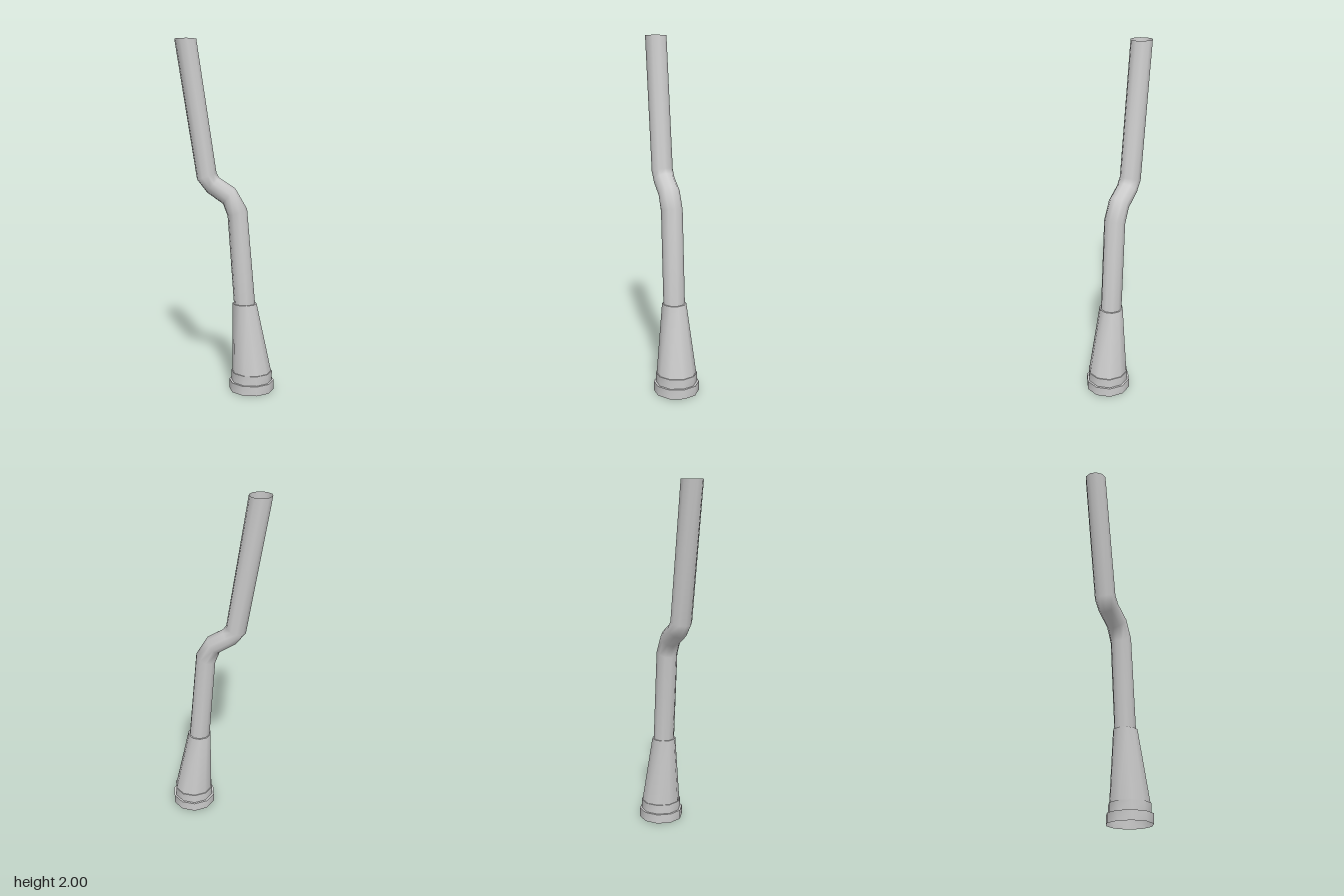
import * as THREE from 'three';

const SIDES = 10;
const material = new THREE.MeshStandardMaterial({ color: 0xcccccc, side: THREE.DoubleSide });

// Open skin through tilted rings, each [left x, left y, right x, right y, depth radius]
function skin(name, rings) {
  const positions = [], index = [];
  for (const [lx, ly, rx, ry, rz] of rings) {
    for (let i = 0; i < SIDES; i++) {
      const a = (i / SIDES) * Math.PI * 2;
      const t = (1 + Math.cos(a)) / 2;
      positions.push(lx + (rx - lx) * t, ly + (ry - ly) * t, rz * Math.sin(a));
    }
  }
  for (let r = 0; r < rings.length - 1; r++) {
    for (let i = 0; i < SIDES; i++) {
      const j = (i + 1) % SIDES;
      const a = r * SIDES + i, b = r * SIDES + j, c = a + SIDES, d = b + SIDES;
      index.push(a, c, b, b, c, d);
    }
  }
  const geometry = new THREE.BufferGeometry();
  geometry.setAttribute('position', new THREE.Float32BufferAttribute(positions, 3));
  geometry.setIndex(index);
  geometry.computeVertexNormals();
  const mesh = new THREE.Mesh(geometry, material);
  mesh.name = name;
  return mesh;
}

// Level ring: centre x, height, radius
const level = (x, y, r) => [x - r, y, x + r, y, r];

export function createModel() {
  const group = new THREE.Group();
  group.name = 'bentPipe';
  const baseX = 0.154, neckX = 0.112, pipeR = 0.061;

  // Stepped socket: separate skins keep the edges crisp
  const foot = level(baseX, 0.055, 0.13);
  const collarBottom = level(baseX, 0.055, 0.118);
  const collarTop = level(baseX, 0.11, 0.118);
  const coneBottom = level(baseX, 0.11, 0.113);
  const coneTop = level(neckX, 0.51, 0.069);
  const pipeBottom = level(0.111, 0.51, pipeR);
  group.add(
    skin('footRing', [level(baseX, 0, 0.13), foot]),
    skin('footLedge', [foot, collarBottom]),
    skin('collar', [collarBottom, collarTop]),
    skin('collarLedge', [collarTop, coneBottom]),
    skin('taperedSocket', [coneBottom, coneTop]),
    skin('socketLip', [coneTop, pipeBottom]),
  );

  // Pipe with its double bend and open, level-cut end
  group.add(skin('pipe', [
    pipeBottom,
    [0.013, 1.016, 0.124, 1.058, pipeR],
    [-0.013, 1.085, 0.056, 1.175, pipeR],
    [-0.103, 1.148, -0.034, 1.233, pipeR],
    [-0.161, 1.222, -0.05, 1.26, pipeR],
    [-0.284, 2, -0.161, 2, pipeR],
  ]));
  return group;
}
